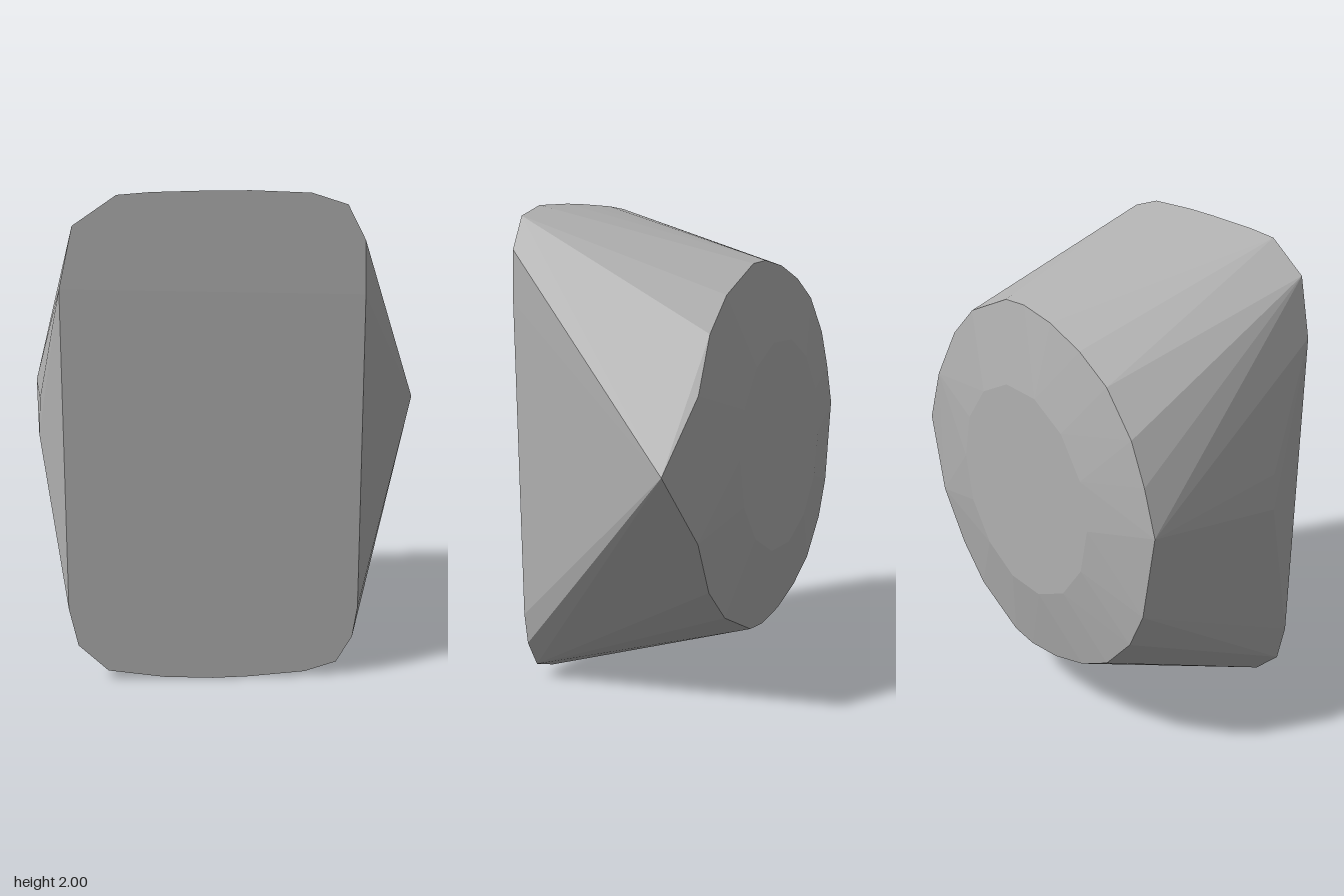
import * as THREE from 'three';
import { ConvexGeometry } from 'three/addons/geometries/ConvexGeometry.js';

const V = (x, y, z) => new THREE.Vector3(x, y, z);

export function createModel() {
  const stone = new THREE.MeshStandardMaterial({ color: 0xb0b0b0 });
  const points = [];

  // Front face: rounded rectangle, leaning back slightly toward the bottom
  const face = [
    [-0.46, 1.985], [-0.33, 1.995], [-0.1, 2], [0.05, 2], [0.28, 1.99], [0.42, 1.945], [0.49, 1.81],
    [0.495, 1.6], [0.495, 0.3], [0.475, 0.17], [0.41, 0.06], [0.28, 0.02], [0.05, 0.003], [-0.1, 0],
    [-0.3, 0.01], [-0.53, 0.045], [-0.65, 0.16], [-0.685, 0.32], [-0.685, 1.63], [-0.63, 1.87],
  ];
  for (const [x, y] of face) points.push(V(x, y, Math.min(0.475, 0.44 + 0.022 * y)));

  // Blunt ridge on the right side
  points.push(V(-0.798, 1.0, 0.23), V(-0.79, 1.15, 0.23));

  // Rim round the back, the same above and below the middle
  const rim = [
    [-0.79, 0.73], [-0.71, 0.57], [-0.56, 0.41], [-0.39, 0.32], [-0.2, 0.26],
    [-0.02, 0.235], [0.11, 0.245], [0.375, 0.36], [0.53, 0.5], [0.66, 0.72],
  ];
  for (const [x, y] of rim) {
    const z = x > 0.6 ? -0.428 : -0.415;
    points.push(V(x, y, z), V(x, 2 - y, z));
  }
  points.push(V(-0.855, 1.09, -0.415), V(0.852, 1.0, -0.37));

  // Flat disc at the back
  for (let i = 0; i < 14; i++) {
    const a = (i / 14) * Math.PI * 2;
    points.push(V(-0.07 + 0.445 * Math.cos(a), 1 + 0.445 * Math.sin(a), -0.475));
  }

  const body = new THREE.Mesh(new ConvexGeometry(points), stone);
  body.name = 'facetedBody';
  const model = new THREE.Group();
  model.name = 'facetedBlock';
  model.add(body);
  return model;
}
